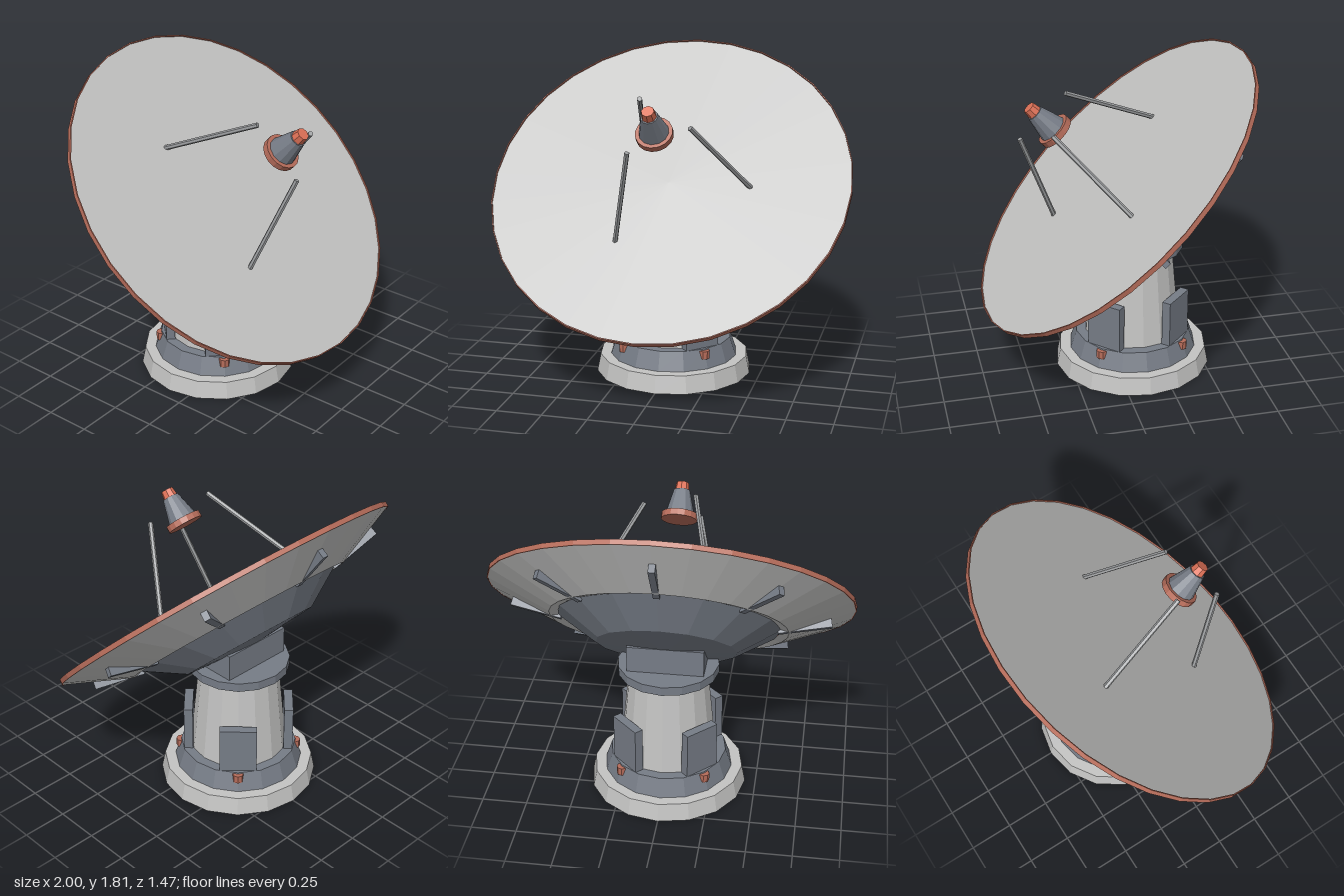
import * as THREE from 'three';

const mat = (name, color) => new THREE.MeshStandardMaterial({ name, color });

// Faceted normals for the low-poly look
function flat(geometry) {
  const g = geometry.index ? geometry.toNonIndexed() : geometry;
  g.computeVertexNormals();
  return g;
}

export function createModel() {
  const light = mat('light grey', 0xc3c3c2);
  const slate = mat('slate grey', 0x767c86);
  const rust = mat('muted rust', 0xb56c5a);
  const orange = mat('bright orange', 0xdd7056);
  const steel = mat('strut grey', 0x989a9c);

  const model = new THREE.Group();
  model.name = 'dishAntenna';

  function add(parent, name, geometry, material, x = 0, y = 0, z = 0) {
    const mesh = new THREE.Mesh(flat(geometry), material);
    mesh.name = name;
    mesh.position.set(x, y, z);
    parent.add(mesh);
    return mesh;
  }
  // Tapered cylinder standing between two heights
  const drum = (parent, name, material, rBottom, rTop, y0, y1, sides = 16) =>
    add(parent, name, new THREE.CylinderGeometry(rTop, rBottom, y1 - y0, sides), material, 0, (y0 + y1) / 2);
  const lathe = (points, sides) =>
    new THREE.LatheGeometry(points.map(([r, y]) => new THREE.Vector2(r, y)), sides);

  // Pedestal
  const pedestal = new THREE.Group();
  pedestal.name = 'pedestal';
  pedestal.position.z = -0.12;
  model.add(pedestal);
  drum(pedestal, 'base', light, 0.44, 0.42, 0, 0.1);
  drum(pedestal, 'baseStep', slate, 0.36, 0.325, 0.1, 0.205);
  drum(pedestal, 'tower', light, 0.27, 0.22, 0.205, 0.72);
  drum(pedestal, 'collar', slate, 0.28, 0.28, 0.72, 0.77);
  add(pedestal, 'yoke', new THREE.BoxGeometry(0.42, 0.15, 0.28), slate, 0, 0.845, 0);

  // Diagonal buttresses and bolts around the tower
  for (let i = 0; i < 4; i++) {
    const corner = new THREE.Group();
    corner.name = 'buttressUnit';
    corner.rotation.y = Math.PI / 4 + i * Math.PI / 2;
    pedestal.add(corner);
    add(corner, 'buttress', new THREE.BoxGeometry(0.205, 0.27, 0.05), slate, 0, 0.335, 0.28);
    add(corner, 'bolt', new THREE.CylinderGeometry(0.03, 0.03, 0.045, 8), rust, 0, 0.176, 0.324);
  }

  // Tilted dish, its local +y pointing out of the reflector face
  const dish = new THREE.Group();
  dish.name = 'dish';
  dish.position.set(0, 1.11, 0);
  dish.rotation.x = 0.76;
  model.add(dish);

  const face = new THREE.CircleGeometry(0.996, 32).rotateX(-Math.PI / 2);
  add(dish, 'reflectorFace', face, light);
  add(dish, 'reflectorBack', lathe([[0.6, -0.15], [0.65, -0.163], [0.995, -0.017]], 32), light);
  add(dish, 'backHousing', lathe([[0, -0.32], [0.385, -0.29], [0.61, -0.15]], 16), slate);
  add(dish, 'rim', lathe([[0.994, -0.018], [1, -0.018], [1, 0.009], [0.994, 0.009], [0.994, -0.018]], 32), rust);

  // Ribs on the back of the dish
  for (let i = 0; i < 8; i++) {
    const arm = new THREE.Group();
    arm.name = 'ribArm';
    arm.rotation.y = i * Math.PI / 4;
    dish.add(arm);
    add(arm, 'rib', new THREE.BoxGeometry(0.29, 0.05, 0.035), slate, 0.73, -0.12, 0).rotation.z = 0.195;
  }

  // Three struts leaning towards the feed
  for (let i = 0; i < 3; i++) {
    const arm = new THREE.Group();
    arm.name = 'strutArm';
    arm.rotation.y = i * Math.PI * 2 / 3;
    dish.add(arm);
    const path = new THREE.LineCurve3(new THREE.Vector3(0.455, -0.01, 0), new THREE.Vector3(0.2, 0.516, 0));
    const strut = new THREE.CylinderGeometry(0.014, 0.014, path.getLength(), 6);
    const mid = path.getPoint(0.5);
    add(arm, 'strut', strut, steel, mid.x, mid.y, 0)
      .quaternion.setFromUnitVectors(new THREE.Vector3(0, 1, 0), path.getTangent(0));
  }

  // Feed horn floating on the dish axis
  drum(dish, 'feedRing', rust, 0.1, 0.1, 0.43, 0.465);
  drum(dish, 'feedHorn', slate, 0.08, 0.046, 0.465, 0.6, 12);
  drum(dish, 'feedTip', orange, 0.04, 0.034, 0.6, 0.645, 8);

  return model;
}
